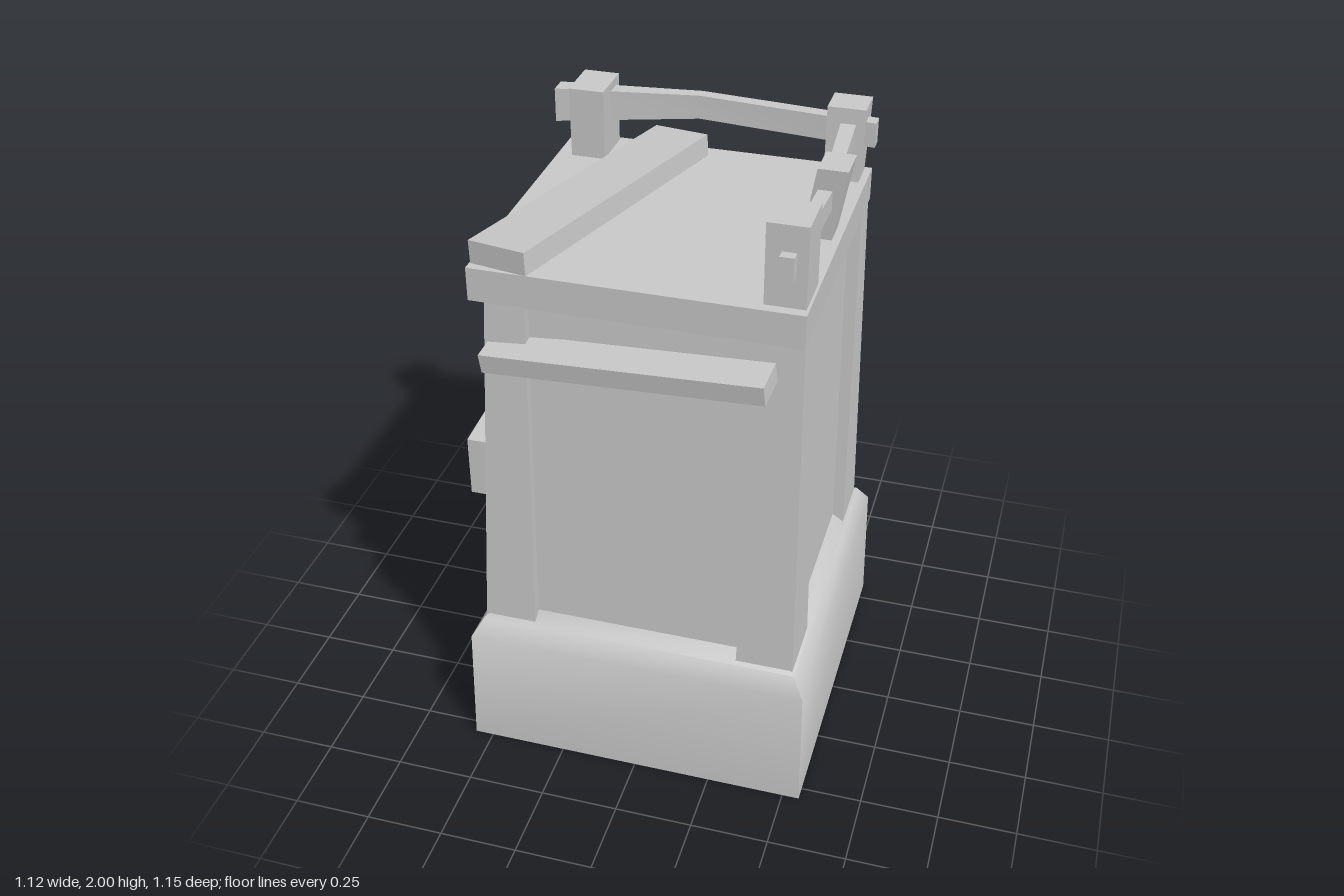
import * as THREE from 'three';
import { toCreasedNormals } from 'three/addons/utils/BufferGeometryUtils.js';

const material = new THREE.MeshStandardMaterial({ color: 0xcccccc });

// Rectangular cross-sections joined along an axis. Ring: [w, u0, u1, v0, v1]
// (u, v) is (z, x) for axis y, (y, z) for axis x and (x, y) for axis z.
function loft(axis, rings) {
  const place = {
    x: (u, v, w) => [w, u, v],
    y: (u, v, w) => [v, w, u],
    z: (u, v, w) => [u, v, w],
  }[axis];
  const points = [];
  const index = [];
  for (const [w, u0, u1, v0, v1] of rings) {
    for (const [u, v] of [[u0, v0], [u1, v0], [u1, v1], [u0, v1]]) points.push(...place(u, v, w));
  }
  const last = (rings.length - 1) * 4;
  for (let r = 0; r < last; r += 4) {
    for (let i = 0; i < 4; i++) {
      const j = (i + 1) % 4;
      index.push(r + i, r + j, r + 4 + j, r + i, r + 4 + j, r + 4 + i);
    }
  }
  index.push(0, 2, 1, 0, 3, 2, last, last + 1, last + 2, last, last + 2, last + 3);
  const geometry = new THREE.BufferGeometry();
  geometry.setAttribute('position', new THREE.Float32BufferAttribute(points, 3));
  geometry.setIndex(index);
  return toCreasedNormals(geometry, 0.9);
}

export function createModel() {
  const model = new THREE.Group();
  model.name = 'woodenTower';

  function add(name, geometry) {
    const mesh = new THREE.Mesh(geometry, material);
    mesh.name = name;
    model.add(mesh);
    return mesh;
  }
  function plank(name, size, position, rotation) {
    const mesh = add(name, new THREE.BoxGeometry(...size));
    mesh.position.set(...position);
    mesh.rotation.set(...rotation, 'YXZ');
  }

  // Heavy plinth with a sloped shoulder
  add('base', loft('y', [
    [0, -0.57, 0.545, -0.56, 0.555],
    [0.42, -0.562, 0.538, -0.55, 0.548],
    [0.48, -0.525, 0.5, -0.515, 0.51],
    [0.515, -0.47, 0.45, -0.46, 0.455],
  ]));

  // Tapered wall core, set back from the corner posts
  add('walls', loft('y', [
    [0.45, -0.48, 0.455, -0.475, 0.465],
    [1.68, -0.43, 0.415, -0.42, 0.445],
  ]));

  // Corner posts: z and x ranges at the foot, then at the head
  const back = [[-0.515, -0.31], [-0.47, -0.36]];
  const front = [[0.27, 0.488], [0.285, 0.45]];
  const left = [[-0.512, -0.345], [-0.453, -0.333]];
  const right = [[0.32, 0.502], [0.355, 0.485]];
  for (const [zName, z] of [['back', back], ['front', front]]) {
    for (const [xName, x] of [['Right', left], ['Left', right]]) {
      add(`${zName}${xName}CornerPost`, loft('y', [
        [0.47, ...z[0], ...x[0]],
        [1.68, ...z[1], ...x[1]],
      ]));
    }
  }

  // Platform on top
  add('platform', loft('y', [
    [1.645, -0.49, 0.467, -0.498, 0.488],
    [1.75, -0.49, 0.467, -0.498, 0.488],
  ]));

  // Railing posts, some leaning
  add('frontRailPost', loft('y', [
    [1.7, 0.285, 0.435, 0.36, 0.48], [2, 0.285, 0.435, 0.36, 0.48],
  ]));
  add('middleRailPost', loft('y', [
    [1.73, -0.07, 0.02, 0.37, 0.46], [1.98, -0.08, 0.04, 0.415, 0.505],
  ]));
  add('cornerRailPost', loft('y', [
    [1.73, -0.475, -0.375, 0.355, 0.465], [1.985, -0.495, -0.385, 0.355, 0.475],
  ]));
  add('backRailPost', loft('y', [
    [1.73, -0.475, -0.32, -0.45, -0.34], [1.975, -0.48, -0.32, -0.453, -0.34],
  ]));

  // Bent rails
  add('backRail', loft('x', [
    [-0.52, 1.835, 1.945, -0.435, -0.375],
    [-0.06, 1.875, 1.952, -0.47, -0.43],
    [0.505, 1.86, 1.94, -0.445, -0.4],
  ]));
  add('sideRail', loft('z', [
    [-0.525, 0.39, 0.44, 1.87, 1.945],
    [-0.02, 0.42, 0.462, 1.85, 1.912],
    [0.467, 0.405, 0.447, 1.845, 1.92],
  ]));

  // Loose planks: one on the platform, two nailed to the walls
  plank('loosePlank', [0.19, 0.07, 0.995], [-0.252, 1.803, 0.03], [-0.035, -0.265, 0.06]);
  plank('frontPlank', [0.86, 0.062, 0.118], [-0.022, 1.511, 0.488], [0.1, -0.052, 0.083]);
  add('sidePlank', loft('z', [
    [-0.49, -0.548, -0.465, 0.995, 1.19],
    [0.45, -0.545, -0.475, 0.942, 1.14],
  ]));

  return model;
}
